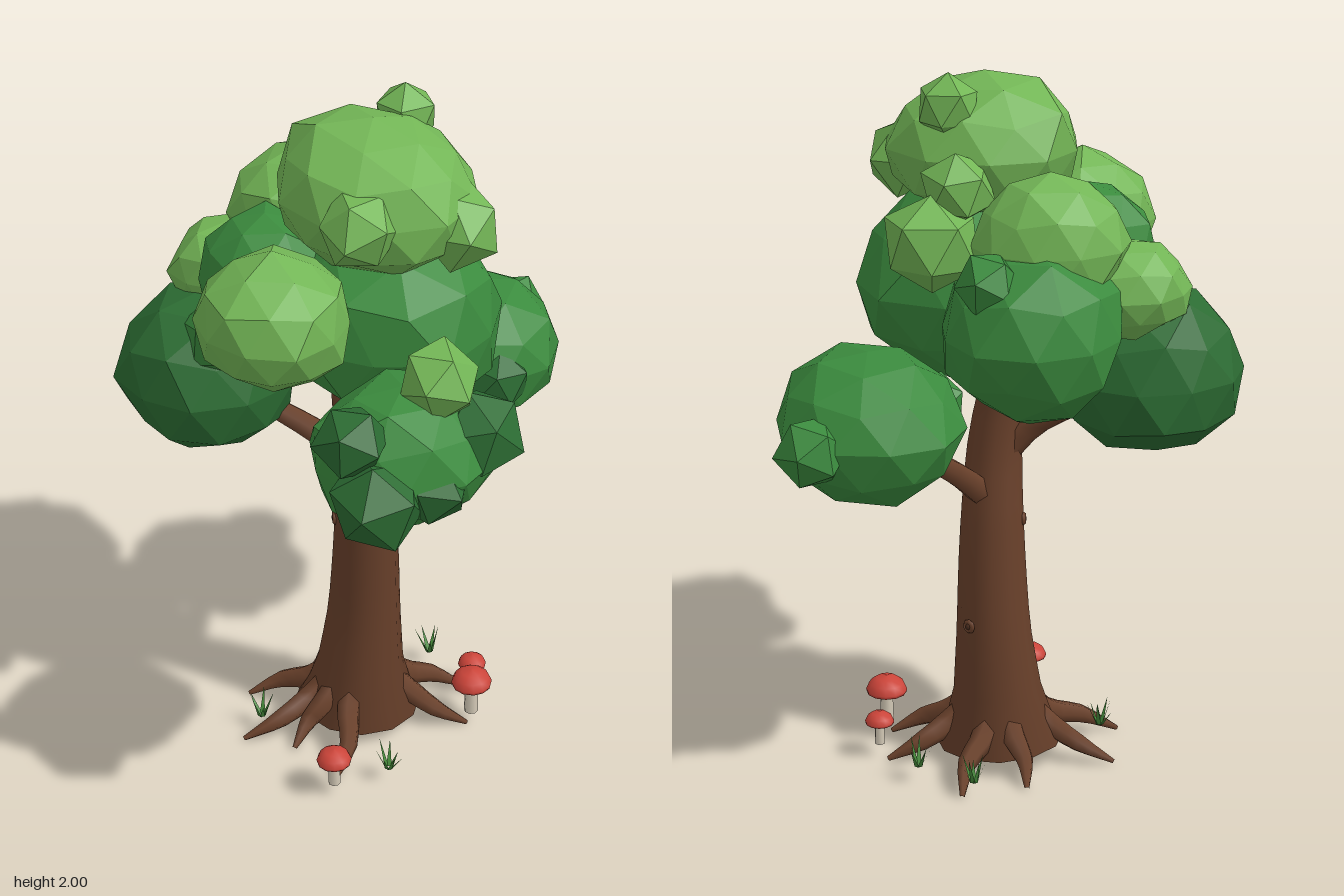
import * as THREE from 'three';

const mat = (name, color, extra = {}) => {
  const m = new THREE.MeshStandardMaterial({ color, ...extra });
  m.name = name;
  return m;
};

// Small repeatable noise in -1..1
const hash = (a, b, c) => {
  const s = Math.sin(a * 127.1 + b * 311.7 + c * 74.7) * 43758.5453;
  return (s - Math.floor(s)) * 2 - 1;
};

// Tube along points [x, y, z, radius]
function taperedTube(pts, segments, sides) {
  const curve = new THREE.CatmullRomCurve3(pts.map(p => new THREE.Vector3(p[0], p[1], p[2])));
  const geo = new THREE.TubeGeometry(curve, segments, 1, sides);
  const pos = geo.attributes.position;
  const v = new THREE.Vector3();
  for (let i = 0; i <= segments; i++) {
    const u = i / segments;
    const c = curve.getPointAt(u);
    const t = curve.getUtoTmapping(u) * (pts.length - 1);
    const k = Math.min(Math.floor(t), pts.length - 2);
    const r = THREE.MathUtils.lerp(pts[k][3], pts[k + 1][3], t - k);
    for (let j = 0; j <= sides; j++) {
      const n = i * (sides + 1) + j;
      v.fromBufferAttribute(pos, n).sub(c).multiplyScalar(r).add(c);
      pos.setXYZ(n, v.x, v.y, v.z);
    }
  }
  return geo;
}

// Faceted, slightly uneven leaf clump, tilted away from its pole-up pose
function clumpGeometry(rx, ry, rz, detail, tilt, seed) {
  const geo = new THREE.IcosahedronGeometry(1, detail);
  geo.rotateX(tilt - Math.atan((1 + Math.sqrt(5)) / 2));
  geo.rotateY(seed * 2.1);
  const pos = geo.attributes.position;
  for (let i = 0; i < pos.count; i++) {
    const [x, y, z] = [pos.getX(i), pos.getY(i), pos.getZ(i)];
    const q = a => Math.round(a * 50);
    const k = 1 + 0.07 * hash(q(x) + seed, q(y), q(z));
    pos.setXYZ(i, x * rx * k, y * ry * k, z * rz * k);
  }
  geo.computeVertexNormals();
  return geo;
}

export function createModel() {
  const tree = new THREE.Group();
  tree.name = 'tree';

  const bark = mat('bark brown', 0x6a412b);
  const knotMat = mat('knot brown', 0x4a2d1e);
  const dark = mat('dark leaf green', 0x2c6c33, { flatShading: true });
  const mid = mat('mid leaf green', 0x3b8b3e, { flatShading: true });
  const light = mat('light leaf green', 0x73b656, { flatShading: true });
  const red = mat('mushroom red', 0xcb4439);
  const cream = mat('mushroom cream', 0xd3c9b6);
  const grassMat = mat('grass green', 0x478c3b, { side: THREE.DoubleSide });

  const add = (name, geo, material, x = 0, y = 0, z = 0, parent = tree) => {
    const m = new THREE.Mesh(geo, material);
    m.name = name;
    m.position.set(x, y, z);
    parent.add(m);
    return m;
  };

  // Trunk and its flat underside
  add('trunk', taperedTube([
    [-0.09, 0.055, -0.09, 0.185], [-0.085, 0.18, -0.085, 0.13], [-0.075, 0.4, -0.075, 0.105],
    [-0.08, 0.7, -0.055, 0.09], [-0.1, 0.95, -0.035, 0.076], [-0.12, 1.15, -0.05, 0.06],
    [-0.11, 1.32, -0.1, 0.045],
  ], 16, 12), bark);
  const base = add('trunkBase', new THREE.CircleGeometry(0.185, 16), bark, -0.09, 0.056, -0.09);
  base.rotation.x = Math.PI / 2;

  // Branches
  [
    [[-0.07, 0.78, -0.06, 0.042], [0.03, 0.87, -0.08, 0.037], [0.16, 0.96, -0.11, 0.03], [0.32, 1.05, -0.14, 0.024]],
    [[-0.1, 0.88, -0.04, 0.045], [-0.13, 0.99, 0.04, 0.04], [-0.18, 1.1, 0.15, 0.032], [-0.24, 1.2, 0.3, 0.025]],
    [[-0.1, 0.9, -0.05, 0.045], [-0.18, 1.0, -0.1, 0.04], [-0.28, 1.08, -0.2, 0.032], [-0.38, 1.15, -0.28, 0.025]],
  ].forEach(p => add('branch', taperedTube(p, 8, 6), bark));

  // Roots: angle in degrees (towards the front), reach
  [[15, 0.33], [47, 0.33], [135, 0.34], [168, 0.27], [190, 0.37], [225, 0.34], [283, 0.27], [318, 0.33]]
    .forEach(([deg, reach], i) => {
      const at = (r, y, w, bend = 0) => {
        const a = deg * Math.PI / 180 + bend * (i % 2 ? 1 : -1);
        return [-0.09 + Math.cos(a) * r, y, -0.085 + Math.sin(a) * r, w];
      };
      add('root', taperedTube([
        at(0.08, 0.165, 0.037), at(0.15, 0.11, 0.036),
        at(reach * 0.72, 0.068, 0.027, 0.08), at(reach, 0.015, 0.007),
      ], 8, 6), bark);
    });

  // Bark knots
  [[-0.1, 0.88, 0.045, 0], [0.025, 0.43, -0.11, 1.9], [-0.155, 0.72, -0.1, -2.1]].forEach(([x, y, z, turn]) => {
    const knot = add('knot', new THREE.TorusGeometry(0.013, 0.008, 5, 8), bark, x, y, z);
    knot.rotation.y = turn;
    add('knotCore', new THREE.SphereGeometry(0.011, 6, 5), knotMat, 0, 0, 0, knot);
  });

  // Large leaf clumps: colour, centre, radii
  [
    [mid, -0.04, 1.41, 0.01, 0.31, 0.28, 0.31],
    [light, -0.08, 1.79, 0.0, 0.26, 0.2, 0.29],
    [light, -0.43, 1.53, 0.06, 0.2, 0.19, 0.21],
    [light, -0.08, 1.59, -0.35, 0.21, 0.18, 0.19],
    [mid, -0.25, 1.25, 0.39, 0.26, 0.2, 0.22],
    [mid, 0.36, 1.11, -0.16, 0.25, 0.21, 0.27],
    [dark, -0.41, 1.19, -0.34, 0.25, 0.24, 0.24],
    [mid, 0.0, 1.37, -0.39, 0.25, 0.24, 0.25],
    [mid, -0.3, 1.5, -0.19, 0.18, 0.2, 0.18],
    [light, -0.3, 1.45, -0.4, 0.16, 0.13, 0.15],
  ].forEach(([m, x, y, z, rx, ry, rz], i) =>
    add('leafClump', clumpGeometry(rx, ry, rz, 1, 0, i + 1), m, x, y, z));

  // Small leaf tufts: colour, centre, radius
  [
    [light, 0.08, 1.92, -0.09, 0.09], [light, -0.24, 1.79, 0.18, 0.11], [light, 0.05, 1.73, 0.2, 0.12],
    [light, -0.18, 1.46, 0.45, 0.11], [light, 0.19, 1.59, -0.2, 0.135], [light, 0.11, 1.73, -0.2, 0.1],
    [mid, 0.15, 1.53, -0.43, 0.09], [mid, -0.43, 1.36, -0.2, 0.12],
    [dark, -0.44, 1.37, 0.44, 0.1], [dark, -0.09, 1.3, 0.5, 0.125], [dark, -0.26, 1.22, 0.53, 0.11],
    [dark, -0.41, 1.21, 0.51, 0.13], [dark, 0.3, 1.1, 0.04, 0.1], [mid, 0.58, 1.1, -0.27, 0.1],
    [mid, 0.16, 1.12, -0.15, 0.1],
  ].forEach(([m, x, y, z, r], i) =>
    add('leafTuft', clumpGeometry(r, r, r, 0, i * 1.3, i + 20), m, x, y, z));

  // Mushrooms: position, cap radius, cap top
  [[-0.36, 0.2, 0.05, 0.17], [0.155, 0.15, 0.06, 0.2], [0.235, 0.04, 0.042, 0.15]].forEach(([x, z, r, top]) => {
    const shroom = new THREE.Group();
    shroom.name = 'mushroom';
    shroom.position.set(x, 0, z);
    tree.add(shroom);
    const brim = top - r * 0.85;
    add('mushroomStem', new THREE.CylinderGeometry(r * 0.31, r * 0.36, brim - 0.045, 8), cream, 0, (brim + 0.055) / 2, 0, shroom);
    const profile = [[0, 0.08], [0.7, 0.04], [0.97, 0], [1, 0.15], [0.85, 0.5], [0.5, 0.76], [0, 0.85]]
      .map(([a, b]) => new THREE.Vector2(a * r, b * r));
    add('mushroomCap', new THREE.LatheGeometry(profile, 12), red, 0, brim, 0, shroom);
  });

  // Grass tufts made of thin leaning blades
  [[-0.2, 0.24], [-0.38, -0.17], [0.12, -0.31], [0.21, -0.15]].forEach(([x, z], t) => {
    const verts = [];
    for (let i = 0; i < 7; i++) {
      const a = i * 0.9 + t;
      const h = 0.07 + 0.025 * hash(i, t, 3);
      const [c, s] = [Math.cos(a), Math.sin(a)];
      const lean = 0.04 + 0.012 * hash(t, i, 5);
      verts.push(-s * 0.008 + c * 0.008, 0, c * 0.008 + s * 0.008,
        s * 0.008 + c * 0.008, 0, -c * 0.008 + s * 0.008,
        c * lean, h, s * lean);
    }
    const geo = new THREE.BufferGeometry();
    geo.setAttribute('position', new THREE.Float32BufferAttribute(verts, 3));
    geo.computeVertexNormals();
    add('grassTuft', geo, grassMat, x, 0.055, z);
  });

  return tree;
}
